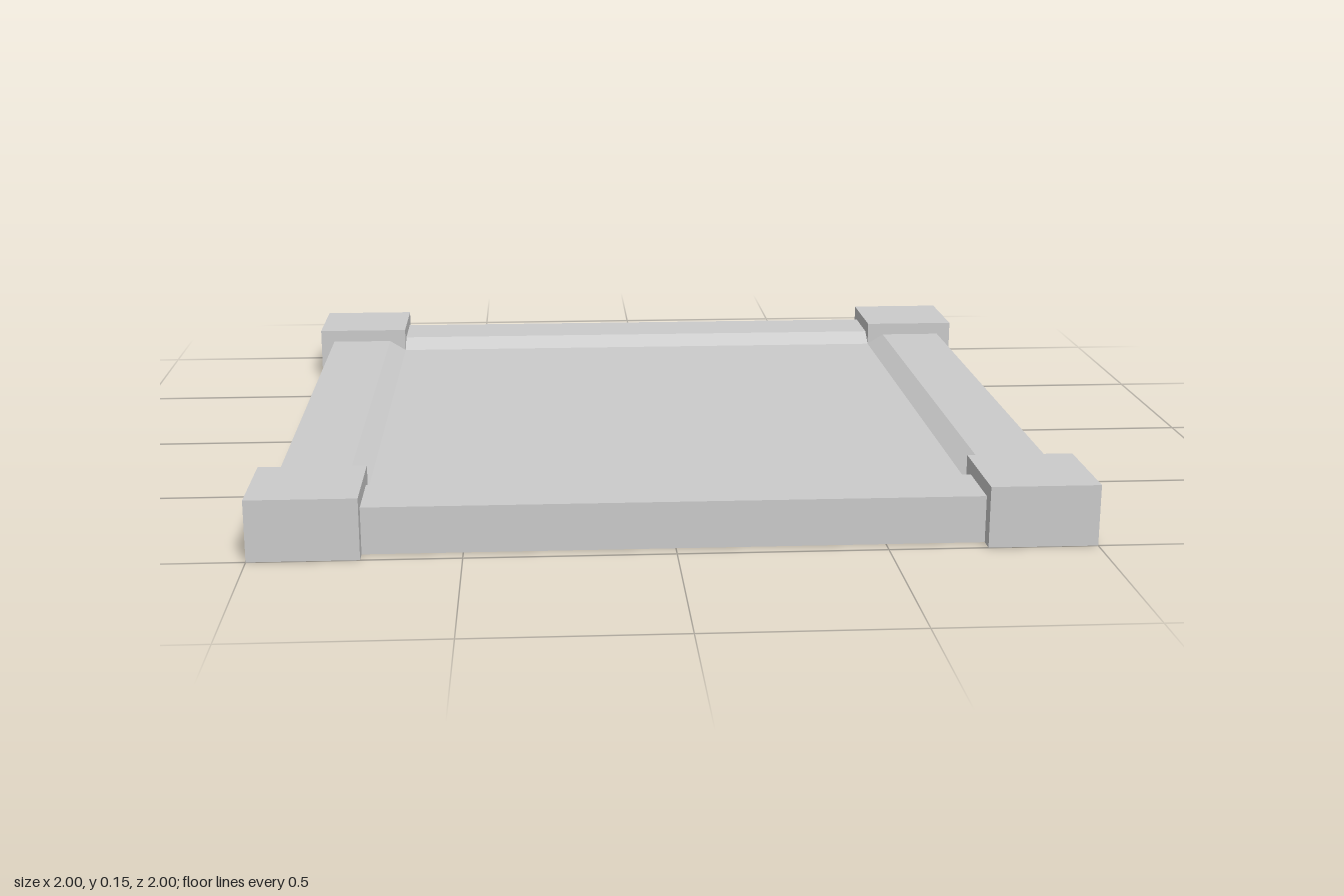
import * as THREE from 'three';
import { mergeGeometries } from 'three/addons/utils/BufferGeometryUtils.js';

const material = new THREE.MeshStandardMaterial({
  color: 0xcccccc, flatShading: true, side: THREE.DoubleSide,
});

const INNER = 0.737, SKIRT = 0.96, OUTER = 1;
const FLOOR = 0.085, RIM = 0.115, TOP = 0.15, WALL_BOTTOM = 0.05;

function panel(points) {
  return new THREE.ShapeGeometry(new THREE.Shape(points.map(([x, y]) => new THREE.Vector2(x, y))));
}

// Thin square tray: sunken floor, sloped step, flat rim and outer skirt
function makeTray() {
  const profile = [[0, FLOOR], [INNER, FLOOR], [0.785, RIM], [SKIRT, RIM], [SKIRT, 0]]
    .map(([r, y]) => new THREE.Vector2(r * Math.SQRT2, y)).reverse();
  const geometry = new THREE.LatheGeometry(profile, 4, Math.PI / 4).toNonIndexed();
  geometry.computeVertexNormals();
  return geometry;
}

// Hollow square cap that sits over one corner of the tray
function makeCornerCap() {
  const size = OUTER - INNER, mid = (OUTER + INNER) / 2;
  const outerWall = new THREE.PlaneGeometry(size, TOP).translate(mid, TOP / 2, OUTER);
  const sideWall = new THREE.PlaneGeometry(size, TOP).rotateY(Math.PI / 2).translate(OUTER, TOP / 2, mid);
  const lid = new THREE.PlaneGeometry(size, size).rotateX(-Math.PI / 2).translate(mid, TOP, mid);

  // Inward walls, notched to clear the tray skirt
  const notched = [[INNER, TOP], [INNER, WALL_BOTTOM], [SKIRT, WALL_BOTTOM],
    [SKIRT, 0], [OUTER, 0], [OUTER, TOP]];
  const innerWallZ = panel(notched).translate(0, 0, INNER);
  const innerWallX = panel(notched).translate(0, 0, -INNER).rotateY(-Math.PI / 2);

  // L-shaped underside between skirt and outer walls
  const underside = panel([[OUTER, INNER], [OUTER, OUTER], [INNER, OUTER],
    [INNER, SKIRT], [SKIRT, SKIRT], [SKIRT, INNER]]).rotateX(Math.PI / 2);

  return mergeGeometries([outerWall, sideWall, lid, innerWallZ, innerWallX, underside]);
}

export function createModel() {
  const model = new THREE.Group();
  model.name = 'squareTray';

  const tray = new THREE.Mesh(makeTray(), material);
  tray.name = 'tray';
  model.add(tray);

  const capGeometry = makeCornerCap();
  ['frontLeft', 'backLeft', 'backRight', 'frontRight'].forEach((corner, i) => {
    const cap = new THREE.Mesh(capGeometry, material);
    cap.name = `${corner}CornerCap`;
    cap.rotation.y = i * Math.PI / 2;
    model.add(cap);
  });
  return model;
}
